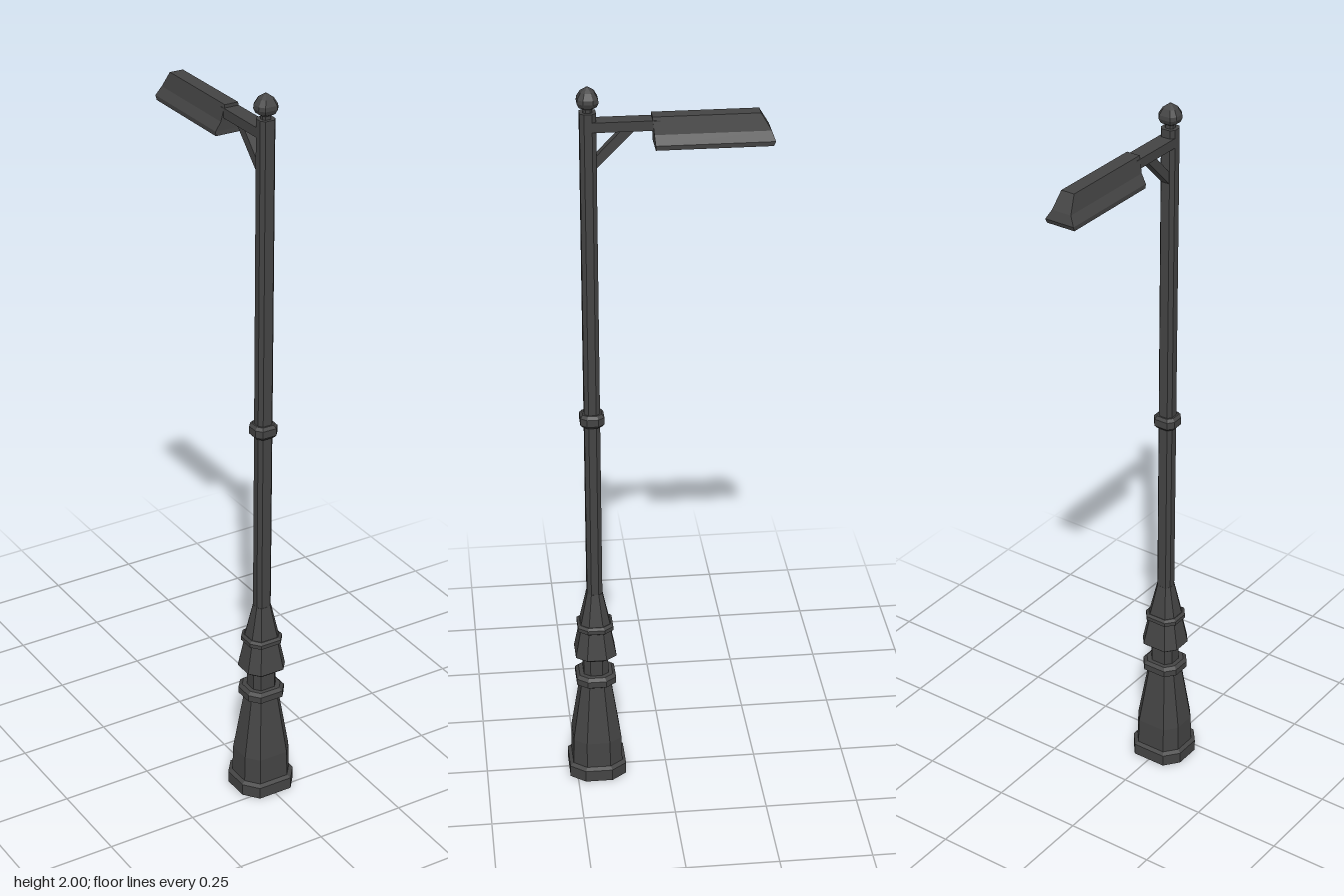
import * as THREE from 'three';

const material = new THREE.MeshStandardMaterial({ color: 0x444444, flatShading: true });
const POLE_Z = 0.193;

// Joins rings of [x, y, z] points from first to last and caps both ends
function loft(rings) {
  const n = rings[0].length, last = (rings.length - 1) * n, index = [];
  for (let r = 0; r < rings.length - 1; r++) {
    for (let i = 0; i < n; i++) {
      const a = r * n + i, b = r * n + (i + 1) % n;
      index.push(a, b, b + n, a, b + n, a + n);
    }
  }
  for (let i = 1; i < n - 1; i++) {
    index.push(0, i + 1, i, last, last + i, last + i + 1);
  }
  const indexed = new THREE.BufferGeometry();
  indexed.setAttribute('position', new THREE.Float32BufferAttribute(rings.flat(2), 3));
  indexed.setIndex(index);
  const geometry = indexed.toNonIndexed();
  geometry.computeVertexNormals();
  return geometry;
}

// Slightly uneven octagon, counter-clockwise from above
const OCTAGON = [[1, 0.457], [1, -0.457], [0.605, -0.957], [-0.605, -0.957],
  [-1, -0.457], [-1, 0.457], [-0.605, 0.957], [0.605, 0.957]];

// Profile of [half width, height] pairs around the pole axis
const turned = (profile) => loft(profile.map(([r, y]) =>
  OCTAGON.map(([x, z]) => [x * r, y, POLE_Z + z * r])));

// Rectangular sections of [half width, height, front z, back z]
const hood = (sections) => loft(sections.map(([w, y, front, back]) =>
  [[w, y, front], [w, y, back], [-w, y, back], [-w, y, front]]));

export function createModel() {
  const group = new THREE.Group();
  const add = (name, geometry) => {
    const mesh = new THREE.Mesh(geometry, material);
    mesh.name = name;
    group.add(mesh);
    return mesh;
  };

  // Pedestal with plinth, tapered body, collar and bell
  add('plinth', turned([[0.081, 0], [0.081, 0.033], [0.071, 0.04]]));
  add('pedestal', turned([[0.071, 0.035], [0.069, 0.115], [0.042, 0.29]]));
  add('pedestalCollar', turned([[0.046, 0.283], [0.056, 0.29], [0.056, 0.308], [0.047, 0.316]]));
  add('neck', turned([[0.035, 0.3], [0.035, 0.38]]));
  add('bell', turned([[0.05, 0.371], [0.058, 0.378], [0.056, 0.388], [0.043, 0.455]]));
  add('bellCollar', turned([[0.043, 0.452], [0.05, 0.457], [0.05, 0.468], [0.043, 0.474]]));
  add('bellTop', turned([[0.042, 0.47], [0.022, 0.565]]));

  // Pole, its middle ring and the finial
  add('pole', turned([[0.0215, 0.55], [0.0215, 1.935]]));
  add('poleRing', turned([[0.026, 1.072], [0.033, 1.08], [0.033, 1.1], [0.026, 1.108]]));
  add('finial', turned([[0.012, 1.93], [0.012, 1.944], [0.023, 1.951], [0.028, 1.962],
    [0.027, 1.972], [0.018, 1.988], [0.002, 2]]));

  // Arm and diagonal brace
  add('arm', new THREE.BoxGeometry(0.043, 0.026, 0.175)).position.set(0, 1.9, 0.1025);
  const braceShape = new THREE.Shape([[0.185, 1.778], [0.185, 1.81], [0.108, 1.89], [0.073, 1.89]]
    .map(([z, y]) => new THREE.Vector2(-z, y)));
  const brace = new THREE.ExtrudeGeometry(braceShape, { depth: 0.024, bevelEnabled: false });
  brace.translate(0, 0, -0.012).rotateY(Math.PI / 2);
  add('brace', brace);

  // Flared lamp hood with a rim and a recessed underside
  add('lampHood', hood([
    [0.027, 1.862, 0.014, -0.25],
    [0.033, 1.842, 0.02, -0.258],
    [0.041, 1.842, 0.028, -0.266],
    [0.042, 1.854, 0.028, -0.271],
    [0.028, 1.878, 0.03, -0.262],
    [0.019, 1.922, 0.034, -0.236],
  ]));
  return group;
}
